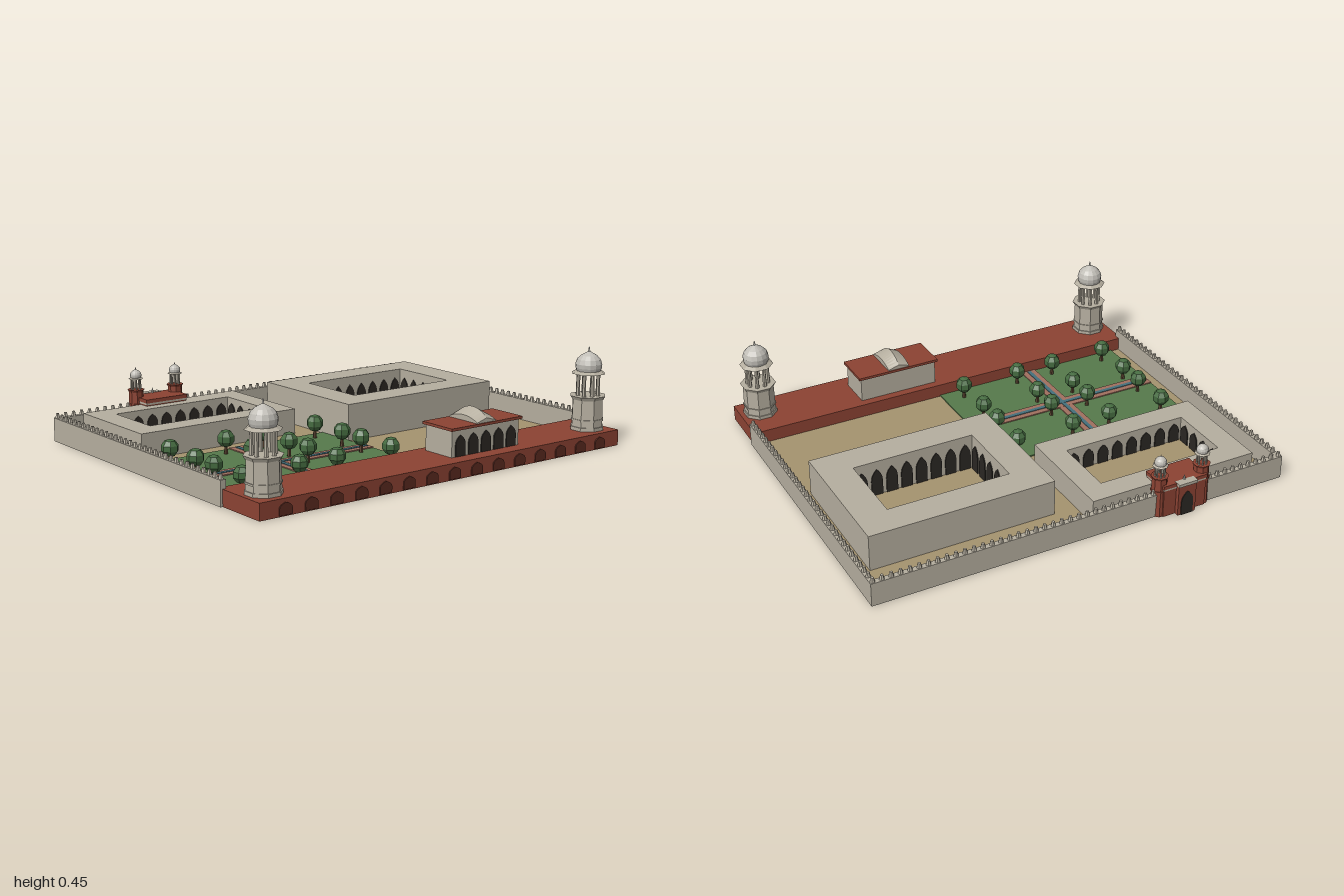
import * as THREE from 'three';

const mat = (color, extra = {}) => {
  const m = new THREE.MeshStandardMaterial({ flatShading: true, ...extra });
  m.color.set(color);
  return m;
};
const STONE = mat(0xb5ae9f), RED = mat(0x8c4333), DARK = mat(0x2b2723), NICHE = mat(0x5a2a20);
const EARTH = mat(0xa5936f), GRASS = mat(0x567a4b), PATH = mat(0xa0705f), WATER = mat(0x44707c);
const LEAF = mat(0x456b40), BARK = mat(0x5b4330), DOME = mat(0xc0bdb6);

function add(parent, name, geo, material, x = 0, y = 0, z = 0, ry = 0) {
  const m = new THREE.Mesh(geo, material);
  m.name = name;
  m.position.set(x, y, z);
  m.rotation.y = ry;
  parent.add(m);
  return m;
}

// Box given by its limits on each axis
function box(parent, name, material, x0, x1, y0, y1, z0, z1) {
  return add(parent, name, new THREE.BoxGeometry(x1 - x0, y1 - y0, z1 - z0), material,
    (x0 + x1) / 2, (y0 + y1) / 2, (z0 + z1) / 2);
}

// Eight-sided drum standing on y
function drum(parent, name, material, rTop, rBottom, y, h, x = 0, z = 0) {
  return add(parent, name, new THREE.CylinderGeometry(rTop, rBottom, h, 8), material, x, y + h / 2, z, Math.PI / 8);
}

// Pointed arch panel facing +z
function archGeometry(w, h, depth) {
  const s = new THREE.Shape();
  s.moveTo(-w / 2, 0);
  s.lineTo(w / 2, 0);
  s.lineTo(w / 2, h * 0.55);
  s.quadraticCurveTo(w / 2, h * 0.82, 0, h);
  s.quadraticCurveTo(-w / 2, h * 0.82, -w / 2, h * 0.55);
  return new THREE.ExtrudeGeometry(s, { depth, bevelEnabled: false, curveSegments: 4 });
}

// Row of arches between two points on a wall, turned by ry
function arcade(parent, name, material, n, w, h, y, a, b, ry) {
  const geo = archGeometry(w, h, 0.005);
  for (let i = 0; i < n; i++) {
    const t = (i + 0.5) / n;
    add(parent, name, geo, material, a[0] + (b[0] - a[0]) * t, y, a[1] + (b[1] - a[1]) * t, ry);
  }
}

// Domed kiosk on columns; r is the dome radius
function kiosk(parent, y, r, columnHeight) {
  const g = new THREE.Group();
  g.name = 'kiosk';
  g.position.y = y;
  const col = new THREE.CylinderGeometry(r * 0.13, r * 0.16, columnHeight, 6);
  for (let i = 0; i < 8; i++) {
    const a = (i + 0.5) * Math.PI / 4;
    add(g, 'kioskColumn', col, STONE, Math.cos(a) * r * 0.8, columnHeight / 2, Math.sin(a) * r * 0.8);
  }
  drum(g, 'kioskEave', STONE, r * 0.95, r * 1.3, columnHeight - r * 0.12, r * 0.2);
  const profile = [[0.9, 0], [0.98, 0.25], [1, 0.55], [0.88, 0.9], [0.62, 1.18], [0.3, 1.36], [0.08, 1.48], [0.05, 1.75], [0, 1.85]]
    .map(([px, py]) => new THREE.Vector2(px * r, py * r));
  add(g, 'dome', new THREE.LatheGeometry(profile, 14), DOME, 0, columnHeight + r * 0.05, 0);
  parent.add(g);
}

// Hollow rectangular building with arches around its court
function courtBuilding(parent, name, [x0, x1, z0, z1], [a0, a1, b0, b1], h, nx, nz) {
  const g = new THREE.Group();
  g.name = name;
  const rect = (T, l, r, n, f) => new T([[l, -f], [r, -f], [r, -n], [l, -n]].map(p => new THREE.Vector2(...p)));
  const s = rect(THREE.Shape, x0, x1, z0, z1);
  s.holes.push(rect(THREE.Path, a0, a1, b0, b1));
  const geo = new THREE.ExtrudeGeometry(s, { depth: h, bevelEnabled: false });
  geo.rotateX(-Math.PI / 2);
  add(g, 'courtWalls', geo, STONE);
  const ah = h * 0.72, w = 0.054;
  arcade(g, 'courtArch', DARK, nz, w, ah, 0.01, [a0, b0], [a0, b1], Math.PI / 2);
  arcade(g, 'courtArch', DARK, nz, w, ah, 0.01, [a1, b0], [a1, b1], -Math.PI / 2);
  arcade(g, 'courtArch', DARK, nx, w, ah, 0.01, [a0, b0], [a1, b0], 0);
  arcade(g, 'courtArch', DARK, nx, w, ah, 0.01, [a0, b1], [a1, b1], Math.PI);
  parent.add(g);
}

// Curved gable roof: sections along x, ridge and eaves rising to the middle
function curvedRoof(x0, x1, z0, z1, y) {
  const pos = [], idx = [], n = 12, zm = (z0 + z1) / 2;
  for (let i = 0; i <= n; i++) {
    const t = i / n, lift = 0.035 * (1 - (2 * t - 1) ** 2), x = x0 + (x1 - x0) * t;
    pos.push(x, y, z0, x, y + 0.004 + lift * 0.6, z0, x, y + 0.02 + lift, zm, x, y + 0.004 + lift * 0.6, z1, x, y, z1);
  }
  for (let i = 0; i < n; i++) for (let j = 0; j < 5; j++) {
    const a = i * 5 + j, b = i * 5 + (j + 1) % 5;
    idx.push(a, b, a + 5, b, b + 5, a + 5);
  }
  for (let j = 1; j < 4; j++) idx.push(0, j + 1, j, n * 5, n * 5 + j, n * 5 + j + 1);
  const g = new THREE.BufferGeometry();
  g.setAttribute('position', new THREE.Float32BufferAttribute(pos, 3));
  g.setIndex(idx);
  g.computeVertexNormals();
  return g;
}

export function createModel() {
  const root = new THREE.Group();
  root.name = 'walledPalace';

  // Ground and riverside terrace
  box(root, 'ground', EARTH, -0.785, 0.56, 0, 0.01, -0.985, 0.985);
  box(root, 'terrace', RED, 0.55, 0.83, 0, 0.072, -0.99, 0.99);
  arcade(root, 'terraceNiche', NICHE, 15, 0.062, 0.052, 0.005, [0.83, -0.93], [0.83, 0.93], Math.PI / 2);

  // Enclosing walls with merlons
  const walls = new THREE.Group();
  walls.name = 'enclosingWalls';
  root.add(walls);
  box(walls, 'westWall', STONE, -0.792, -0.766, 0, 0.11, -1, 1);
  const merlon = new THREE.CylinderGeometry(0.007, 0.012, 0.022, 6);
  for (const s of [-1, 1]) {
    box(walls, 'sideWall', STONE, -0.792, 0.58, 0, 0.11, s * 0.987 - 0.013, s * 0.987 + 0.013);
    for (let i = 0; i < 34; i++) add(walls, 'merlon', merlon, STONE, -0.779 + i * 0.0407, 0.12, s * 0.987);
  }
  for (let i = 1; i < 48; i++) add(walls, 'merlon', merlon, STONE, -0.779, 0.12, -0.987 + i * 1.974 / 48);

  // Court buildings
  courtBuilding(root, 'largeCourt', [-0.583, 0.058, -0.915, -0.045], [-0.44, -0.085, -0.766, -0.19], 0.18, 5, 8);
  courtBuilding(root, 'smallCourt', [-0.727, -0.212, 0.06, 0.883], [-0.62, -0.323, 0.162, 0.772], 0.127, 4, 8);

  // Four-part garden with paths, channels and trees
  const garden = new THREE.Group();
  garden.name = 'garden';
  root.add(garden);
  box(garden, 'lawn', GRASS, -0.133, 0.55, 0.008, 0.016, -0.04, 0.93);
  box(garden, 'longPath', PATH, 0.17, 0.243, 0.01, 0.021, -0.04, 0.93);
  box(garden, 'crossPath', PATH, -0.133, 0.55, 0.01, 0.0205, 0.411, 0.484);
  box(garden, 'longChannel', WATER, 0.197, 0.216, 0.012, 0.024, -0.03, 0.92);
  box(garden, 'crossChannel', WATER, -0.12, 0.54, 0.012, 0.0235, 0.438, 0.457);
  const trunk = new THREE.CylinderGeometry(0.007, 0.01, 0.05, 6);
  const crown = new THREE.SphereGeometry(0.04, 7, 5);
  for (const x of [-0.065, 0.137, 0.275, 0.48]) for (const z of [0.055, 0.347, 0.543, 0.83]) {
    add(garden, 'trunk', trunk, BARK, x, 0.035, z);
    add(garden, 'treeCrown', crown, LEAF, x, 0.086, z, x * 9 + z * 5);
  }

  // Corner towers on the terrace
  for (const s of [-1, 1]) {
    const t = new THREE.Group();
    t.name = 'cornerTower';
    t.position.set(0.725, 0, s * 0.895);
    root.add(t);
    drum(t, 'towerPlinth', STONE, 0.079, 0.079, 0.07, 0.018);
    drum(t, 'towerShaft', STONE, 0.071, 0.074, 0.07, 0.15);
    drum(t, 'towerBand', STONE, 0.077, 0.077, 0.115, 0.008);
    drum(t, 'towerCornice', STONE, 0.083, 0.074, 0.212, 0.016);
    kiosk(t, 0.226, 0.06, 0.11);
  }

  // Terrace pavilion
  const hall = new THREE.Group();
  hall.name = 'pavilion';
  root.add(hall);
  box(hall, 'pavilionBody', STONE, 0.59, 0.757, 0.07, 0.19, -0.433, -0.047);
  box(hall, 'pavilionRoof', RED, 0.578, 0.768, 0.188, 0.2, -0.445, -0.037);
  arcade(hall, 'pavilionArch', DARK, 5, 0.055, 0.092, 0.073, [0.757, -0.423], [0.757, -0.057], Math.PI / 2);
  add(hall, 'curvedRoof', curvedRoof(0.583, 0.763, -0.292, -0.186, 0.2), STONE);

  // West gate with twin turrets
  const gate = new THREE.Group();
  gate.name = 'gate';
  root.add(gate);
  box(gate, 'gateBlock', RED, -0.81, -0.673, 0, 0.132, 0.363, 0.577);
  box(gate, 'gateCornice', STONE, -0.812, -0.671, 0.132, 0.141, 0.361, 0.579);
  box(gate, 'gateDeck', RED, -0.814, -0.669, 0.141, 0.158, 0.359, 0.581);
  box(gate, 'gatePortal', RED, -0.83, -0.8, 0, 0.146, 0.425, 0.515);
  box(gate, 'portalCap', STONE, -0.836, -0.8, 0.146, 0.16, 0.423, 0.517);
  add(gate, 'gateArch', archGeometry(0.06, 0.115, 0.004), DARK, -0.83, 0, 0.47, -Math.PI / 2);
  add(gate, 'gateFinial', new THREE.ConeGeometry(0.007, 0.026, 8), DOME, -0.8, 0.171, 0.47);
  for (const z of [0.363, 0.577]) {
    const t = new THREE.Group();
    t.name = 'gateTurret';
    t.position.set(-0.77, 0, z);
    gate.add(t);
    drum(t, 'turretShaft', RED, 0.034, 0.038, 0, 0.185);
    drum(t, 'turretBand', RED, 0.039, 0.039, 0.12, 0.008);
    drum(t, 'turretCornice', RED, 0.04, 0.034, 0.182, 0.011);
    kiosk(t, 0.193, 0.027, 0.054);
  }
  return root;
}
